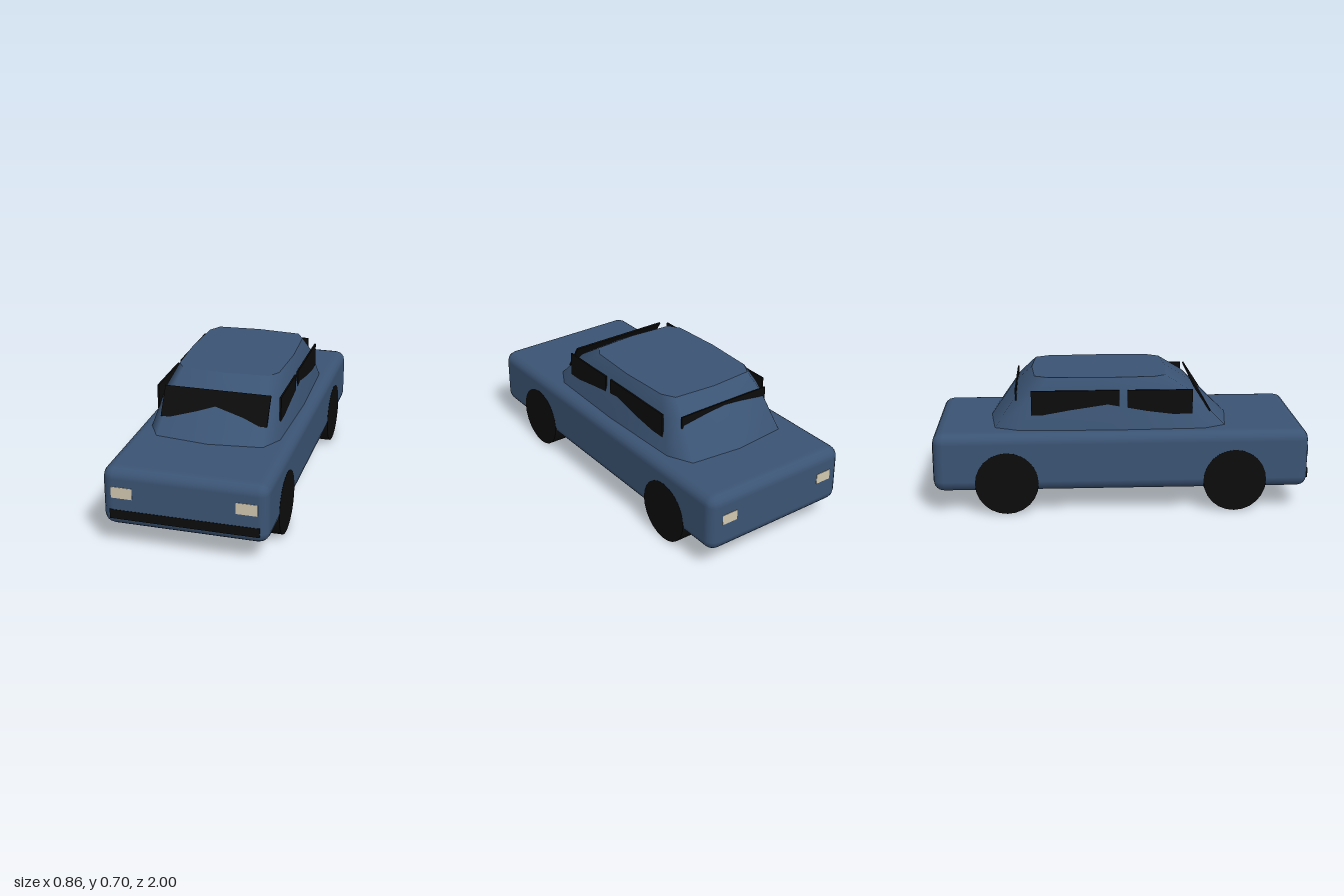
import * as THREE from 'three';
import { RoundedBoxGeometry } from 'three/addons/geometries/RoundedBoxGeometry.js';

const paint = new THREE.MeshStandardMaterial({ color: 0x3b5474 });
paint.name = 'blue paint';
const black = new THREE.MeshStandardMaterial({ color: 0x0c0c0c });
black.name = 'black glass and rubber';
const cream = new THREE.MeshStandardMaterial({ color: 0xd2c8b0 });
cream.name = 'cream lamp';

// Half outlines [x, z] of the cabin from front centre to rear centre
const rings = [
  { y: 0.43, half: [[0, 0.603], [0.287, 0.567], [0.352, 0.45], [0.367, -0.04], [0.352, -0.54], [0.287, -0.675], [0, -0.705]] },
  { y: 0.62, half: [[0, 0.403], [0.26, 0.378], [0.312, 0.29], [0.327, -0.08], [0.312, -0.45], [0.26, -0.545], [0, -0.572]] },
  { y: 0.705, half: [[0, 0.26], [0.237, 0.243], [0.277, 0.18], [0.29, -0.1], [0.277, -0.385], [0.237, -0.457], [0, -0.475]] },
];

function fullRing({ y, half }) {
  const mirrored = half.slice(1, -1).reverse().map(([x, z]) => [-x, z]);
  return [...half, ...mirrored].map(([x, z]) => [x, y, z]);
}

// Smooth walls between the rings, with a flat roof on its own vertices
function cabinGeometry() {
  const loops = rings.map(fullRing);
  const n = loops[0].length;
  const points = loops.flat();
  const index = [];
  for (let r = 0; r < loops.length - 1; r++) {
    for (let i = 0; i < n; i++) {
      const a = r * n + i, b = r * n + (i + 1) % n;
      index.push(a, b, b + n, a, b + n, a + n);
    }
  }
  const roof = points.length;
  points.push(...loops[2], [0, 0.705, -0.1]);
  for (let i = 0; i < n; i++) index.push(roof + i, roof + (i + 1) % n, roof + n);
  const geometry = new THREE.BufferGeometry();
  geometry.setAttribute('position', new THREE.Float32BufferAttribute(points.flat(), 3));
  geometry.setIndex(index);
  geometry.computeVertexNormals();
  return geometry;
}

export function createModel() {
  const car = new THREE.Group();
  car.name = 'car';

  const add = (name, geometry, material, x, y, z) => {
    const mesh = new THREE.Mesh(geometry, material);
    mesh.name = name;
    mesh.position.set(x, y, z);
    car.add(mesh);
    return mesh;
  };
  const box = (w, h, d) => new THREE.BoxGeometry(w, h, d);

  // Body and cabin
  add('body', new RoundedBoxGeometry(0.854, 0.317, 1.996, 2, 0.058), paint, 0, 0.2785, 0);
  add('cabin', cabinGeometry(), paint, 0, 0, 0);

  // Wheels, flush with the body sides
  const wheel = new THREE.CylinderGeometry(0.168, 0.168, 0.104, 24);
  wheel.rotateZ(Math.PI / 2);
  for (const side of [1, -1]) {
    const s = side > 0 ? 'left' : 'right';
    add(s + 'FrontWheel', wheel, black, side * 0.376, 0.168, 0.602);
    add(s + 'RearWheel', wheel, black, side * 0.376, 0.168, -0.608);

    // Upright side panes, partly sunk into the sloping cabin
    add(s + 'FrontWindow', box(0.009, 0.132, 0.345), black, side * 0.333, 0.58, 0.2075);
    add(s + 'RearWindow', box(0.009, 0.132, 0.467), black, side * 0.333, 0.58, -0.2415);

    // Lamps
    add(s + 'Headlamp', box(0.11, 0.06, 0.004), cream, side * 0.32, 0.31, 0.998);
    add(s + 'TailLamp', box(0.09, 0.055, 0.004), cream, side * 0.31, 0.3, -0.998);
  }

  // Sloping windscreen and upright rear window
  const windscreen = add('windscreen', box(0.574, 0.166, 0.009), black, 0, 0.585, 0.435);
  windscreen.rotation.x = -0.571;
  add('rearWindow', box(0.55, 0.065, 0.008), black, 0, 0.614, -0.557);

  // Front bumper bar
  add('bumper', box(0.77, 0.05, 0.03), black, 0, 0.19, 0.985);

  return car;
}
